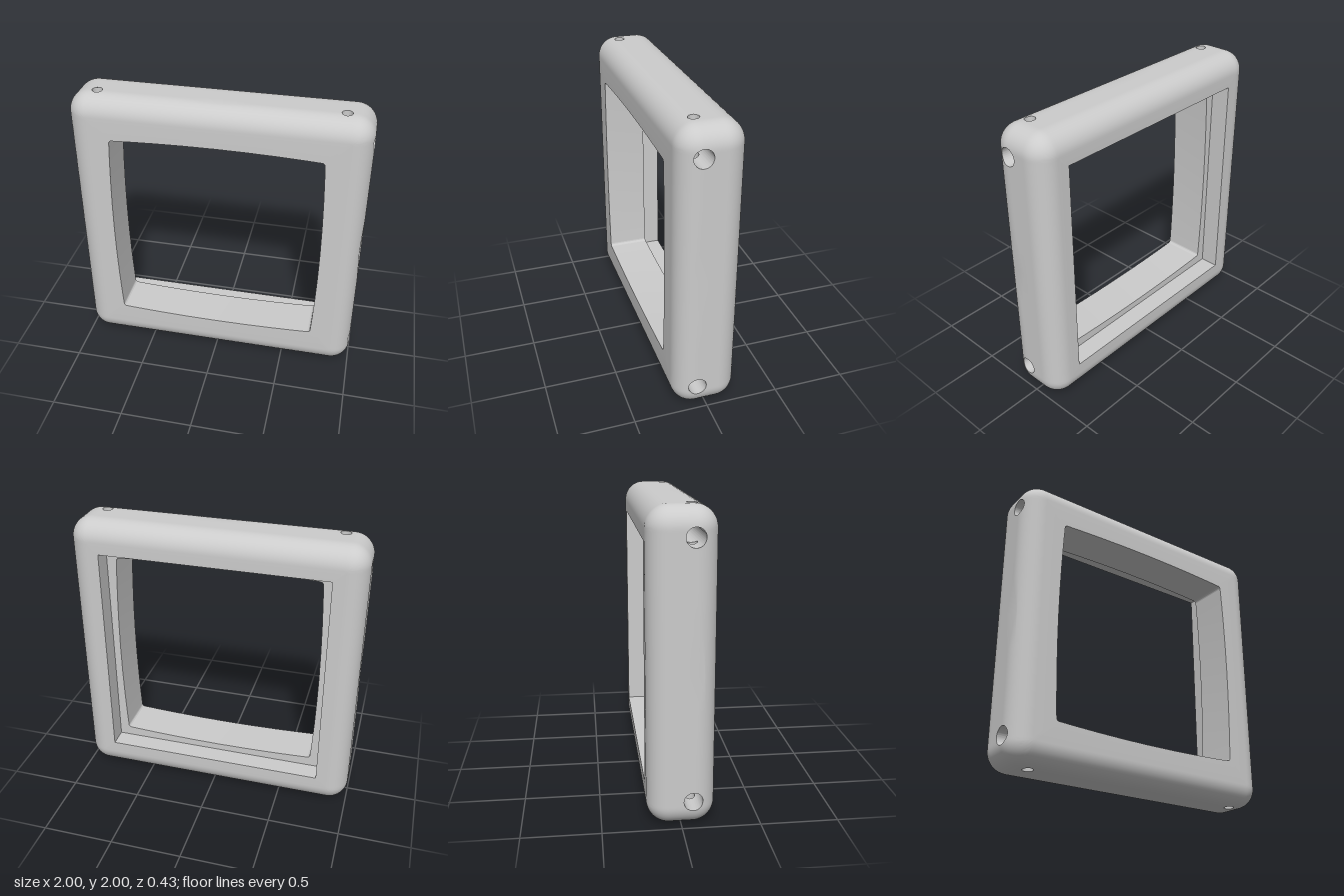
import * as THREE from 'three';
import { toCreasedNormals } from 'three/addons/utils/BufferGeometryUtils.js';

const CORE = 0.86, R = 0.14, ZC = 0.075, DEPTH = ZC + R;   // rounded outer body
const CZ = 0.07;                                            // depth of the channels
const CROSS = { at: 0.82, r: 0.06 };                        // channels along x, at y = +-at
const UPRIGHT = { at: 0.81, r: 0.035 };                     // channels along y, at x = +-at

// Distance of the rounded outer skin from the centre, at cross position (a, z)
function skinAt(a, z) {
  const p = Math.max(Math.abs(a) - CORE, 0), q = Math.max(Math.abs(z) - ZC, 0);
  return CORE + Math.sqrt(Math.max(R * R - p * p - q * q, 0));
}

// If (a, z) falls inside a channel's circle, return the nearest point on its rim
function toRim(a, z, hole) {
  const c = Math.sign(a) * hole.at, da = a - c, dz = z - CZ, d = Math.hypot(da, dz);
  if (d >= hole.r) return null;
  const ang = d < 1e-6 ? 0 : Math.atan2(dz, da);
  return [c + hole.r * Math.cos(ang), CZ + hole.r * Math.sin(ang)];
}

// Closed loft through rows of points; triangles lying wholly in a hole are left out
function loft(rows, crease, flip = false) {
  const pos = [], A = new THREE.Vector3(), B = new THREE.Vector3();
  const tri = (a, b, c) => {
    if (a.cut && b.cut && c.cut) return;
    A.subVectors(b.v, a.v);
    B.subVectors(c.v, a.v);
    if (A.cross(B).length() < 1e-9) return;
    for (const p of flip ? [a, c, b] : [a, b, c]) pos.push(p.v.x, p.v.y, p.v.z);
  };
  for (let i = 0; i + 1 < rows.length; i++) {
    const n = rows[i].length;
    for (let j = 0; j < n; j++) {
      const k = (j + 1) % n;
      tri(rows[i][j], rows[i][k], rows[i + 1][k]);
      tri(rows[i][j], rows[i + 1][k], rows[i + 1][j]);
    }
  }
  const g = new THREE.BufferGeometry();
  g.setAttribute('position', new THREE.Float32BufferAttribute(pos, 3));
  return toCreasedNormals(g, crease);
}

// Square outline: base point, outward normal, and how far the inner edge bows
function outline() {
  const half = [];
  for (let i = 0; i <= 13; i++) half.push(CORE - i * 0.0125);
  half.push(0.5, 0.25);
  const ts = [...half.map(t => -t), 0, ...half.slice().reverse()];
  const pts = [], ARC = 14;
  for (let k = 0; k < 4; k++) {
    const a = k * Math.PI / 2, nx = Math.round(Math.cos(a)), ny = Math.round(Math.sin(a));
    for (const t of ts) {
      pts.push({ x: nx * CORE - ny * t, y: ny * CORE + nx * t, nx, ny, bow: 1 - (t / CORE) ** 2 });
    }
    for (let i = 1; i < ARC; i++) {
      const b = a + i / ARC * Math.PI / 2;
      pts.push({ x: (nx - ny) * CORE, y: (ny + nx) * CORE, nx: Math.cos(b), ny: Math.sin(b), bow: 0 });
    }
  }
  return pts;
}

function frameGeometry() {
  const path = outline();

  // Rounded outer skin, back to front, opened where the channels come out
  const profile = [], N = 14;
  for (let i = 0; i <= N; i++) {
    const a = (i / N - 1) * Math.PI / 2;
    profile.push([R * Math.cos(a), -ZC + R * Math.sin(a)]);
  }
  for (let i = 1; i < 12; i++) profile.push([R, -ZC + 2 * ZC * i / 12]);
  for (let i = 0; i <= N; i++) {
    const a = i / N * Math.PI / 2;
    profile.push([R * Math.cos(a), ZC + R * Math.sin(a)]);
  }
  const skinRow = ([r, z]) => path.map(o => {
    const v = new THREE.Vector3(o.x + o.nx * r, o.y + o.ny * r, z);
    if (Math.abs(v.x) > 0.93) {
      const p = toRim(v.y, z, CROSS);
      if (p) return { v: v.set(Math.sign(v.x) * skinAt(...p), ...p), cut: true };
    }
    if (Math.abs(v.y) > 0.93) {
      const p = toRim(v.x, z, UPRIGHT);
      if (p) return { v: v.set(p[0], Math.sign(v.y) * skinAt(...p), p[1]), cut: true };
    }
    return { v };
  });
  const rows = profile.map(skinRow);

  // Bowed window opening and the wider square rebate behind it
  const windowRow = z => path.map(o => {
    const s = 0.69 / CORE, r = 0.02 + 0.02 * o.bow;
    return { v: new THREE.Vector3(o.x * s + o.nx * r, o.y * s + o.ny * r, z) };
  });
  const rebateRow = z => path.map(o => (
    { v: new THREE.Vector3(o.x * 0.78 / CORE, o.y * 0.78 / CORE, z) }));
  rows.push(windowRow(DEPTH), windowRow(-0.08), rebateRow(-0.08), rebateRow(-DEPTH), rows[0]);
  return loft(rows, 0.5);
}

const SIDES = 64;
const around = f => Array.from({ length: SIDES }, (_, j) => f(j / SIDES * Math.PI * 2));

// Channel along x, opened where the upright channels cross it
function crossChannel(cy) {
  const near = [0.95];
  for (let i = 0; i <= 12; i++) near.push(0.885 - i * 0.0125);
  const xs = [-1, ...near.map(x => -x), ...near.slice().reverse(), 1];
  const rows = xs.map(x => around(t => {
    const y = cy + CROSS.r * Math.cos(t), z = CZ + CROSS.r * Math.sin(t);
    if (Math.abs(x) === 1) return { v: new THREE.Vector3(x * skinAt(y, z), y, z) };
    const p = toRim(x, z, UPRIGHT);
    if (!p) return { v: new THREE.Vector3(x, y, z) };
    const h = Math.sqrt(CROSS.r ** 2 - (p[1] - CZ) ** 2);
    return { v: new THREE.Vector3(p[0], cy + (Math.cos(t) < 0 ? -h : h), p[1]), cut: true };
  }));
  return loft(rows, 0.6, true);
}

// Channel along y with a wider pocket halfway, interrupted by the cross channels
function uprightChannel(cx) {
  const upper = [[0.2, 0.055], [0.2, UPRIGHT.r], [0.7, UPRIGHT.r],
    [0.819, UPRIGHT.r], [0.821, UPRIGHT.r], [0.95, UPRIGHT.r], [1, UPRIGHT.r]];
  const list = [...upper.slice().reverse().map(([y, r]) => [-y, r]), ...upper];
  const rows = list.map(([y, r]) => around(t => {
    const x = cx + r * Math.cos(t), z = CZ + r * Math.sin(t), s = Math.sign(y), a = Math.abs(y);
    if (a === 1) return { v: new THREE.Vector3(x, s * skinAt(x, z), z) };
    const cut = Math.abs(a - CROSS.at) < 0.01;
    const h = cut ? Math.sqrt(CROSS.r ** 2 - (z - CZ) ** 2) : 0;
    const yy = cut ? s * (CROSS.at + (a < CROSS.at ? -h : h)) : y;
    return { v: new THREE.Vector3(x, yy, z), cut };
  }));
  return loft(rows, 0.6);
}

export function createModel() {
  const group = new THREE.Group();
  group.name = 'squareFrame';
  const material = new THREE.MeshStandardMaterial({ color: 0xcccccc });
  const add = (name, geometry) => {
    const mesh = new THREE.Mesh(geometry, material);
    mesh.name = name;
    mesh.position.y = 1;
    group.add(mesh);
  };
  add('frameBody', frameGeometry());
  add('topChannel', crossChannel(CROSS.at));
  add('bottomChannel', crossChannel(-CROSS.at));
  add('leftChannel', uprightChannel(UPRIGHT.at));
  add('rightChannel', uprightChannel(-UPRIGHT.at));
  return group;
}
